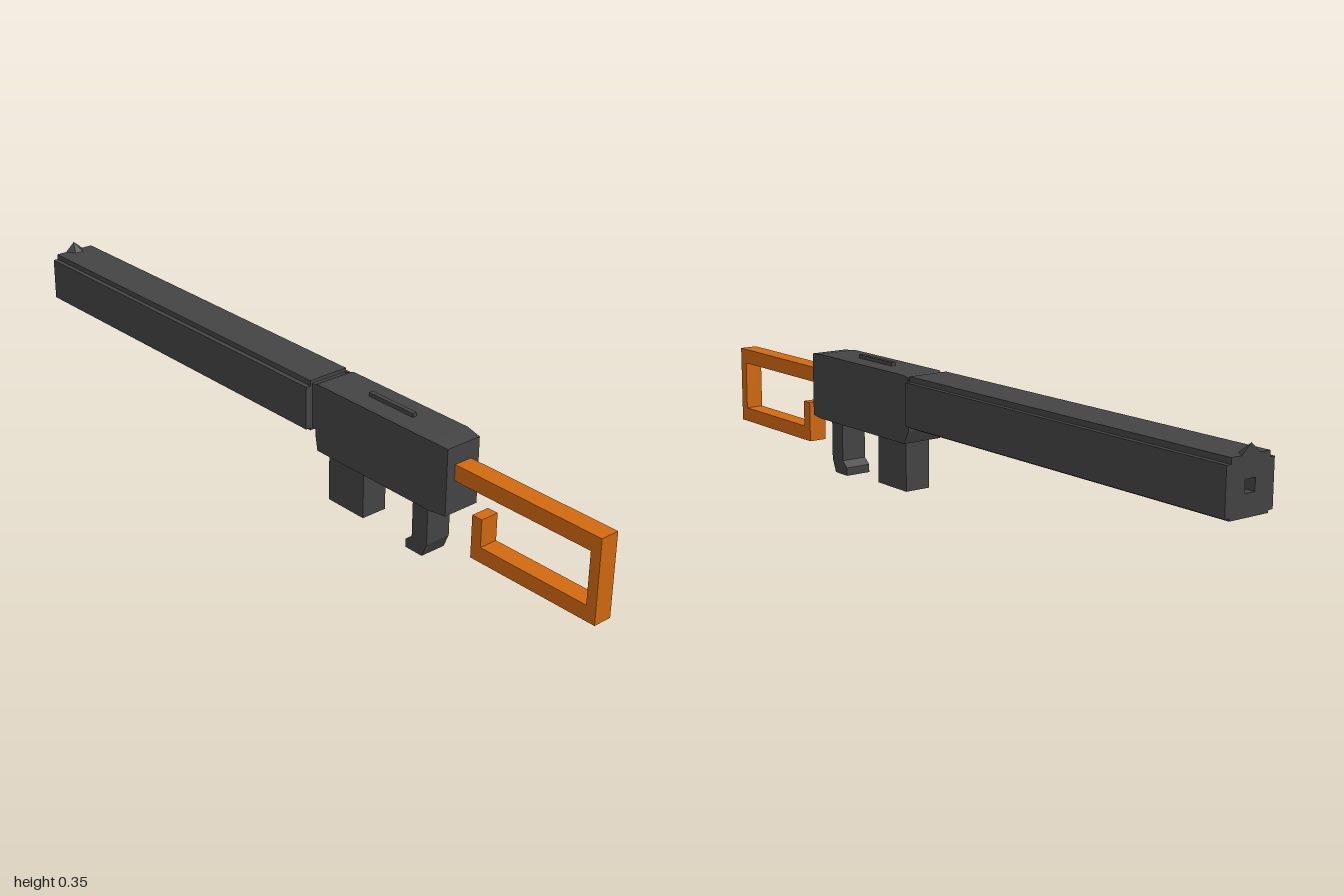
import * as THREE from 'three';
import { ConvexGeometry } from 'three/addons/geometries/ConvexGeometry.js';

const metal = new THREE.MeshStandardMaterial({ color: 0x444444, flatShading: true });
const orange = new THREE.MeshStandardMaterial({ color: 0xd2690f, flatShading: true });

const toShape = (points) => new THREE.Shape(points.map(([a, b]) => new THREE.Vector2(a, b)));

// Side outline given as [z, y], extruded symmetrically across x
function sidePlate(points, width) {
  const geo = new THREE.ExtrudeGeometry(toShape(points), { depth: width, bevelEnabled: false });
  return geo.translate(0, 0, -width / 2).rotateY(-Math.PI / 2);
}

// Box given by half width, y range and z range
function block(halfWidth, y0, y1, z0, z1) {
  return new THREE.BoxGeometry(halfWidth * 2, y1 - y0, z1 - z0)
    .translate(0, (y0 + y1) / 2, (z0 + z1) / 2);
}

export function createModel() {
  const model = new THREE.Group();
  const add = (name, geometry, material = metal) => {
    const mesh = new THREE.Mesh(geometry, material);
    mesh.name = name;
    model.add(mesh);
  };

  // Hooked shoulder stock
  add('stock', sidePlate([
    [0.55, 0.23], [0.973, 0.23], [0.973, 0.097], [0.66, 0.097], [0.66, 0.168],
    [0.63, 0.168], [0.63, 0.058], [1, 0.058], [1, 0.271], [0.55, 0.271],
  ], 0.05), orange);

  // Receiver: rectangular sections [z, halfWidth, bottom, top], tapered at both ends
  const corners = [];
  for (const [z, w, y0, y1] of [
    [0.57, 0.05, 0.147, 0.317], [0.525, 0.057, 0.145, 0.322],
    [0.135, 0.057, 0.145, 0.322], [0.122, 0.052, 0.178, 0.317],
  ]) {
    for (const x of [-w, w]) for (const y of [y0, y1]) corners.push(new THREE.Vector3(x, y, z));
  }
  add('receiver', new ConvexGeometry(corners));
  add('topRail', block(0.006, 0.315, 0.332, 0.26, 0.41));
  add('neck', block(0.05, 0.195, 0.314, 0.1, 0.14));

  // Long barrel housing with raised side panels and a square bore
  const half = [[0.057, 0.19], [0.057, 0.196], [0.07, 0.196], [0.07, 0.309], [0.057, 0.309], [0.057, 0.323]];
  const section = toShape([...half, ...half.map(([x, y]) => [-x, y]).reverse()]);
  const b = 0.015, by = 0.257;
  section.holes.push(new THREE.Path([[-b, -b], [-b, b], [b, b], [b, -b]]
    .map(([x, y]) => new THREE.Vector2(x, y + by))));
  add('barrelHousing', new THREE.ExtrudeGeometry(section, { depth: 1.108, bevelEnabled: false })
    .translate(0, 0, -1));

  // Pointed sight at the muzzle
  add('sight', new ConvexGeometry([
    [-0.028, 0.322, -1], [0.028, 0.322, -1], [0, 0.347, -1],
    [-0.012, 0.322, -0.974], [0.012, 0.322, -0.974],
  ].map((p) => new THREE.Vector3(...p))));

  // Magazine and curved grip underneath
  add('magazine', block(0.036, 0.012, 0.16, 0.155, 0.28));
  add('grip', sidePlate([
    [0.5, 0.16], [0.45, 0.16], [0.45, 0.038], [0.43, 0.022],
    [0.43, 0], [0.485, 0], [0.5, 0.036],
  ], 0.072));

  return model;
}
